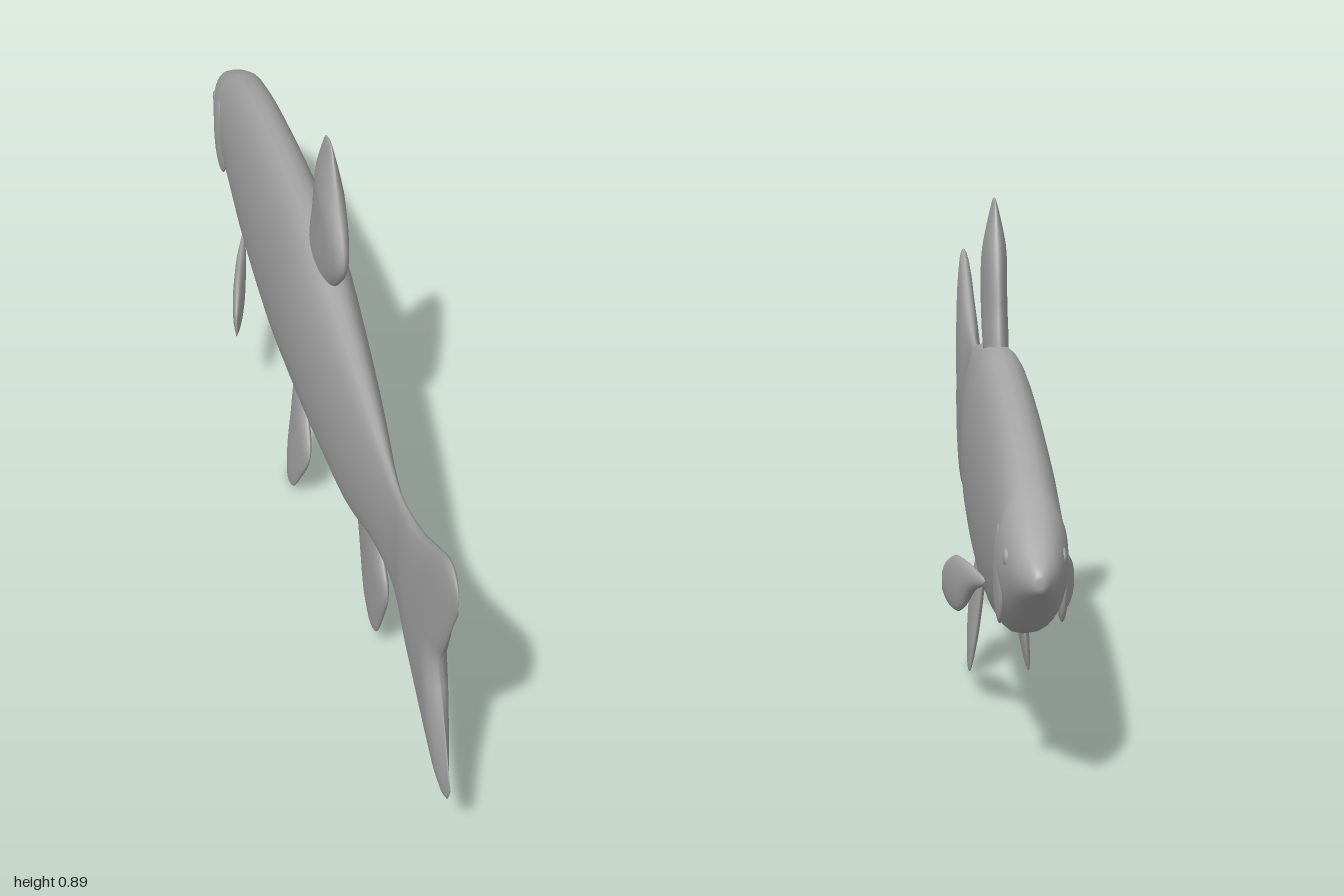
import * as THREE from 'three';
import { mergeVertices } from 'three/addons/utils/BufferGeometryUtils.js';

// Smooth loft. Each section is [zTop, yTop, zBottom, yBottom, halfWidth, zMid?, yMid?]:
// an oval around the path top-mid-bottom. offset(y, z) moves it sideways.
function loft(sections, { power = 1, steps = 3, sides = 20, offset = () => 0, side = 1 } = {}) {
  const curve = (f) => new THREE.CatmullRomCurve3(sections.map(f), false, 'catmullrom', 0.5);
  const top = curve((s) => new THREE.Vector3(0, s[1], s[0]));
  const bottom = curve((s) => new THREE.Vector3(0, s[3], s[2]));
  const mid = curve(([zt, yt, zb, yb, w, z = (zt + zb) / 2, y = (yt + yb) / 2]) => new THREE.Vector3(w, y, z));
  const rows = (sections.length - 1) * steps;
  const pos = [];
  for (let i = 0; i <= rows; i++) {
    const t = i / rows;
    const a = top.getPoint(t), b = bottom.getPoint(t), m = mid.getPoint(t);
    const w = Math.max(0, m.x);
    m.x = 0;
    for (let j = 0; j < sides; j++) {
      const ang = (j / sides) * Math.PI * 2;
      const c = Math.cos(ang), s = Math.sin(ang);
      const p = m.clone().lerp(c > 0 ? a : b, Math.abs(c));
      const x = w * Math.sign(s) * Math.pow(Math.abs(s), power) + offset(p.y, p.z);
      pos.push(x * side, p.y, p.z);
    }
  }
  const index = [];
  for (let i = 0; i < rows; i++) {
    for (let j = 0; j < sides; j++) {
      const k = (j + 1) % sides;
      const a = i * sides + j, b = i * sides + k, c = a + sides, d = b + sides;
      index.push(a, c, b, b, c, d);
    }
  }
  // Turn the faces outward whichever way the loft runs
  const v = (n) => new THREE.Vector3().fromArray(pos, n * 3).sub(new THREE.Vector3().fromArray(pos));
  let volume = 0;
  for (let i = 0; i < index.length; i += 3) {
    volume += v(index[i]).dot(v(index[i + 1]).cross(v(index[i + 2])));
  }
  if (volume < 0) index.reverse();
  let g = new THREE.BufferGeometry();
  g.setAttribute('position', new THREE.Float32BufferAttribute(pos, 3));
  g.setIndex(index);
  g = mergeVertices(g, 1e-5);
  g.computeVertexNormals();
  return g;
}

export function createModel() {
  const group = new THREE.Group();
  const grey = new THREE.MeshStandardMaterial({ color: 0xa6a6a6 });
  grey.name = 'plain grey';
  const add = (name, geometry) => {
    const mesh = new THREE.Mesh(geometry, grey);
    mesh.name = name;
    group.add(mesh);
    return mesh;
  };

  // Body and forked tail in one skin: [z, bottom, top, half width]
  const trunk = [
    [-1, 0.4, 0.4, 0], [-0.995, 0.382, 0.418, 0.014], [-0.96, 0.358, 0.443, 0.034],
    [-0.91, 0.325, 0.475, 0.049], [-0.85, 0.288, 0.508, 0.06], [-0.8, 0.268, 0.53, 0.06],
    [-0.7, 0.24, 0.56, 0.063], [-0.6, 0.215, 0.581, 0.066], [-0.45, 0.195, 0.605, 0.069],
    [-0.3, 0.19, 0.622, 0.071], [-0.1, 0.207, 0.635, 0.07], [0.1, 0.22, 0.603, 0.06],
    [0.28, 0.238, 0.575, 0.046], [0.4, 0.278, 0.553, 0.033], [0.5, 0.3, 0.533, 0.022],
    [0.6, 0.299, 0.53, 0.016],
  ].map(([z, lo, hi, w]) => [z, hi, z, lo, w]);
  const tail = [
    [0.73, 0.567, 0.73, 0.249, 0.024, 0.7, 0.41],
    [0.84, 0.625, 0.84, 0.187, 0.024, 0.79, 0.405],
    [0.933, 0.671, 0.917, 0.147, 0.022, 0.85, 0.4],
    [0.987, 0.655, 0.96, 0.147, 0.012, 0.875, 0.395],
    [0.997, 0.607, 0.987, 0.19, 0, 0.88, 0.393],
  ];
  add('bodyAndTail', loft([...trunk, ...tail], { power: 0.85, sides: 32, steps: 4 }));

  // Back fin
  add('dorsalFin', loft([
    [-0.12, 0.59, 0.04, 0.58, 0.022], [-0.108, 0.645, 0.09, 0.625, 0.024],
    [-0.09, 0.7, 0.136, 0.676, 0.024], [-0.075, 0.755, 0.14, 0.725, 0.024],
    [-0.05, 0.82, 0.1, 0.79, 0.022], [-0.02, 0.882, 0.045, 0.885, 0.006],
    [0.0, 0.898, 0.02, 0.899, 0],
  ]));

  // Fin under the tail
  add('analFin', loft([
    [0.27, 0.28, 0.42, 0.33, 0.014], [0.285, 0.235, 0.473, 0.27, 0.014],
    [0.298, 0.2, 0.505, 0.238, 0.014], [0.31, 0.17, 0.505, 0.195, 0.014],
    [0.335, 0.115, 0.47, 0.127, 0.013], [0.375, 0.06, 0.44, 0.072, 0.007],
    [0.395, 0.05, 0.415, 0.05, 0],
  ]));

  for (const [label, side] of [['left', 1], ['right', -1]]) {
    // Belly fins, splayed outward as they go down
    add(label + 'PelvicFin', loft([
      [-0.15, 0.26, -0.08, 0.265, 0.01], [-0.148, 0.205, -0.03, 0.21, 0.012],
      [-0.146, 0.16, 0.013, 0.168, 0.012], [-0.143, 0.125, 0.008, 0.126, 0.012],
      [-0.136, 0.072, -0.025, 0.075, 0.01], [-0.117, 0.016, -0.056, 0.03, 0.005],
      [-0.1, 0.008, -0.085, 0.01, 0],
    ], { side, offset: (y) => 0.032 + (0.22 - y) * 0.115 }));

    // Side fins, swept back and away from the body
    add(label + 'PectoralFin', loft([
      [-0.56, 0.298, -0.545, 0.285, 0.004], [-0.5, 0.304, -0.485, 0.26, 0.01],
      [-0.44, 0.308, -0.44, 0.222, 0.012], [-0.39, 0.305, -0.4, 0.203, 0.012],
      [-0.34, 0.28, -0.35, 0.207, 0.008], [-0.312, 0.253, -0.312, 0.222, 0],
    ], { side, offset: (y, z) => 0.058 + (z + 0.55) * 0.26 }));

    // Gill cover and eye, low swellings on the head
    const gill = add(label + 'GillCover', new THREE.SphereGeometry(1, 24, 16));
    gill.scale.set(0.011, 0.085, 0.055);
    gill.position.set(side * 0.052, 0.375, -0.815);
    const eye = add(label + 'Eye', new THREE.SphereGeometry(1, 16, 12));
    eye.scale.set(0.007, 0.016, 0.018);
    eye.position.set(side * 0.046, 0.42, -0.895);
  }
  return group;
}
